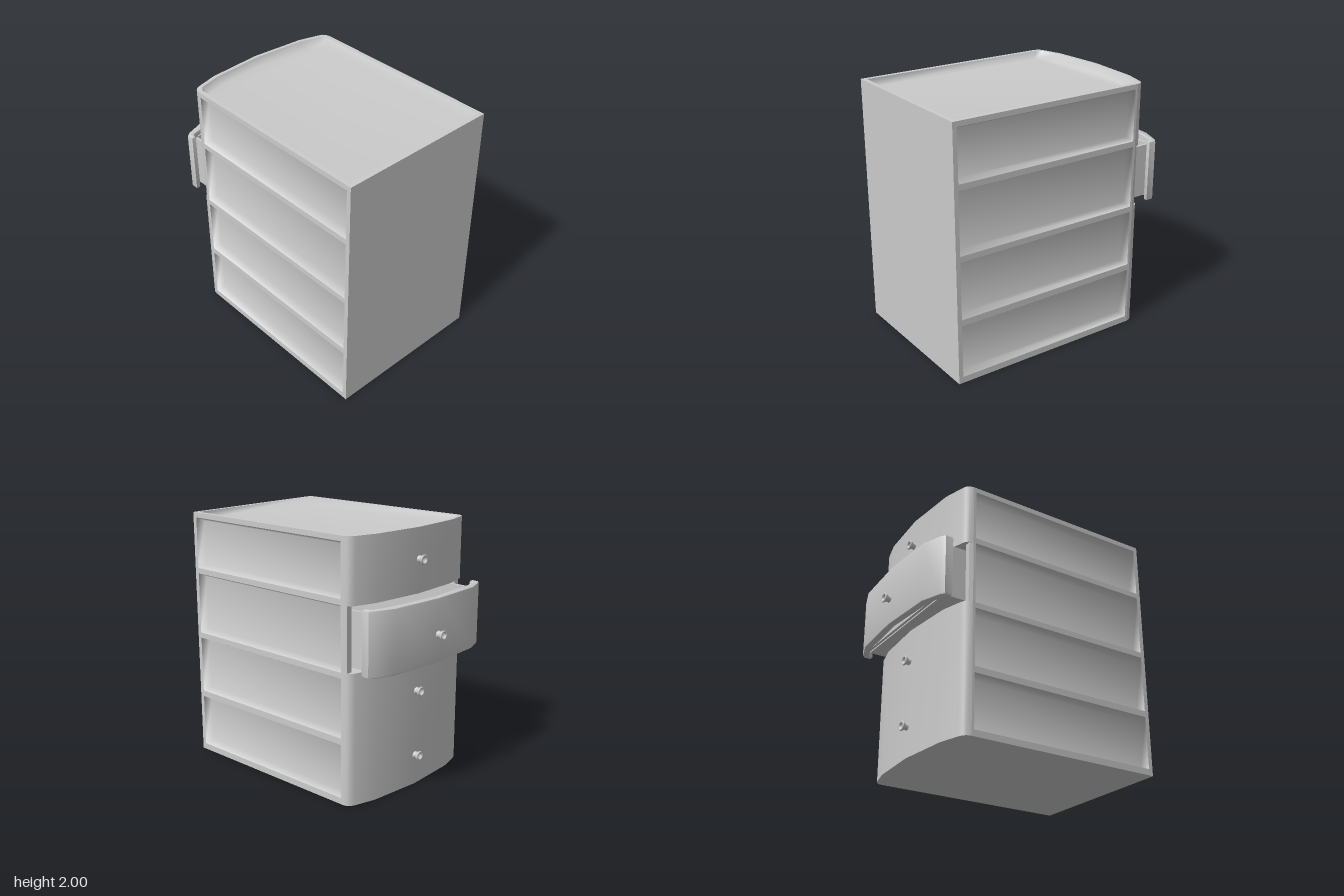
import * as THREE from 'three';
import { toCreasedNormals } from 'three/addons/utils/BufferGeometryUtils.js';

const material = new THREE.MeshStandardMaterial({ color: 0xcccccc, side: THREE.DoubleSide });
const V = (x, y, z) => new THREE.Vector3(x, y, z);
// Mirror a half outline (starting at +x, ending on the centre line)
const mirror = (half) => [...half, ...half.slice(0, -1).reverse().map(([x, z]) => [-x, z])];
const toShape = (pts) => new THREE.Shape(pts.map(([a, b]) => new THREE.Vector2(a, b)));
const rect = (a0, a1, b0, b1) => [[a0, b0], [a1, b0], [a1, b1], [a0, b1]];

function add(parent, name, geometry) {
  const mesh = new THREE.Mesh(geometry, material);
  mesh.name = name;
  parent.add(mesh);
  return mesh;
}

// Surface joining rows of points; optional fan closes the last row
function loft(rows, closed = false, fan = false) {
  const n = rows[0].length, pos = [], index = [];
  rows.forEach((row) => row.forEach((p) => pos.push(p.x, p.y, p.z)));
  for (let r = 0; r < rows.length - 1; r++) {
    for (let i = 0; i < (closed ? n : n - 1); i++) {
      const a = r * n + i, b = r * n + ((i + 1) % n);
      index.push(a, b, b + n, a, b + n, a + n);
    }
  }
  if (fan) {
    const s = (rows.length - 1) * n;
    for (let i = 1; i < n - 1; i++) index.push(s, s + i, s + i + 1);
  }
  const g = new THREE.BufferGeometry();
  g.setAttribute('position', new THREE.Float32BufferAttribute(pos, 3));
  g.setIndex(index);
  g.computeVertexNormals();
  return g;
}

// Upright wall along a plan path
function wall(path, y0, y1) {
  return toCreasedNormals(loft([y0, y1].map((y) => path.map(([x, z]) => V(x, y, z)))), 0.7);
}

// Flat horizontal sheet from a plan outline, with an optional hole
function sheet(outline, y, up, hole) {
  const s = toShape(outline.map(([x, z]) => [x, up ? -z : z]));
  if (hole) s.holes.push(toShape(hole.map(([x, z]) => [x, up ? -z : z])));
  return new THREE.ShapeGeometry(s).rotateX(up ? -Math.PI / 2 : Math.PI / 2).translate(0, y, 0);
}

// Dished knob that points towards -z
function addKnob(parent, y, z) {
  const profile = [[0.03, 0], [0.024, 0.015], [0.028, 0.03], [0.038, 0.043], [0.038, 0.05],
    [0.032, 0.055], [0.024, 0.053], [0.02, 0.035], [0, 0.033]];
  const g = new THREE.LatheGeometry(profile.map(([r, h]) => new THREE.Vector2(r, h)), 16);
  add(parent, 'knob', g.rotateX(-Math.PI / 2).translate(0, y, z));
}

export function createModel() {
  const model = new THREE.Group();
  model.name = 'drawerCabinet';
  const W = 0.657, slot0 = 1.02, slot1 = 1.51;

  // Plan outlines: bowed front, whole body, top recess rim and floor
  const bow = mirror([[W, -0.61], [0.65, -0.642], [0.632, -0.664], [0.6, -0.678], [0.43, -0.724], [0, -0.757]]);
  const outline = [...bow, [-W, 1], [W, 1]];
  const rim = [...mirror([[0.62, -0.61], [0.59, -0.65], [0.42, -0.697], [0, -0.73]]), [-0.62, 0.965], [0.62, 0.965]];
  const floor = rim.map(([x, z]) => [x * 0.95, z > 0 ? z - 0.03 : z + 0.03]);

  // Carcass
  const carcass = new THREE.Group();
  carcass.name = 'carcass';
  model.add(carcass);
  add(carcass, 'lowerFront', wall(bow, 0, slot0));
  add(carcass, 'upperFront', wall(bow, slot1, 2));
  add(carcass, 'bottom', sheet(outline, 0, false));
  add(carcass, 'slotFloor', sheet(outline, slot0, true));
  add(carcass, 'slotCeiling', sheet(outline, slot1, false));
  add(carcass, 'plainEnd', wall([[-W, 1], [W, 1]], 0, 2));
  add(carcass, 'topRim', sheet(outline, 2, true, rim));
  add(carcass, 'topRecess', loft([
    rim.map(([x, z]) => V(x, 2, z)),
    floor.map(([x, z]) => V(x, 1.94, z)),
  ], true, true));

  // Side frames with four recessed panels each
  const panels = [[0.05, 0.47], [0.52, 0.975], [1.02, 1.51], [1.555, 1.96]];
  for (const side of [1, -1]) {
    const frame = toShape(rect(-1, 0.61, 0, 2));
    for (const [y0, y1] of panels) {
      frame.holes.push(toShape(rect(-0.965, 0.59, y0, y1)));
      const outer = rect(-0.59, 0.965, y0, y1).map(([z, y]) => V(side * W, y, z));
      const inner = rect(-0.57, 0.94, y0 + 0.025, y1 - 0.03).map(([z, y]) => V(side * 0.592, y, z));
      const rows = [outer, inner];
      if (side < 0) rows.forEach((r) => r.reverse());
      add(carcass, 'sidePanel', loft(rows, true, true));
    }
    const g = new THREE.ShapeGeometry(frame).rotateY(Math.PI / 2).translate(W, 0, 0);
    if (side < 0) g.rotateY(Math.PI).scale(1, 1, -1);
    add(carcass, 'sideFrame', g);
    // Post beside the open slot
    add(carcass, 'slotPost', wall([[W, -0.61], [0.645, -0.64], [0.6, -0.64], [0.59, -0.56]]
      .map(([x, z]) => [side * x, z]), slot0, slot1));
  }
  for (const y of [0.24, 0.76, 1.765]) addKnob(carcass, y, -0.752);

  // Pulled-out drawer: bowed front with returned ends
  const drawer = new THREE.Group();
  drawer.name = 'openDrawer';
  model.add(drawer);
  const face = mirror([[0.642, -0.775], [0.642, -0.835], [0.61, -0.86], [0.455, -0.918], [0, -0.948]]);
  const back = mirror([[0.61, -0.775], [0.595, -0.815], [0.43, -0.86], [0, -0.89]]).reverse();
  const bevel = 0.015;
  const front = new THREE.ExtrudeGeometry(toShape([...face, ...back]), {
    depth: slot1 - slot0 - 2 * bevel, bevelThickness: bevel, bevelSize: 0.01, bevelOffset: -0.01, bevelSegments: 2,
  });
  front.rotateX(Math.PI / 2).translate(0, slot1 - bevel, 0);
  add(drawer, 'drawerFront', toCreasedNormals(front, 0.7));
  addKnob(drawer, 1.235, -0.945);

  // Open drawer box
  const box = (name, w, h, d, x, y, z) =>
    add(drawer, name, new THREE.BoxGeometry(w, h, d).translate(x, y, z));
  for (const side of [1, -1]) box('drawerSide', 0.02, 0.42, 1.66, side * 0.576, 1.26, 0.02);
  box('drawerFloor', 1.14, 0.02, 1.66, 0, 1.06, 0.02);
  box('drawerBack', 1.14, 0.42, 0.02, 0, 1.26, 0.84);
  box('drawerInnerFront', 1.14, 0.42, 0.02, 0, 1.26, -0.83);

  return model;
}
